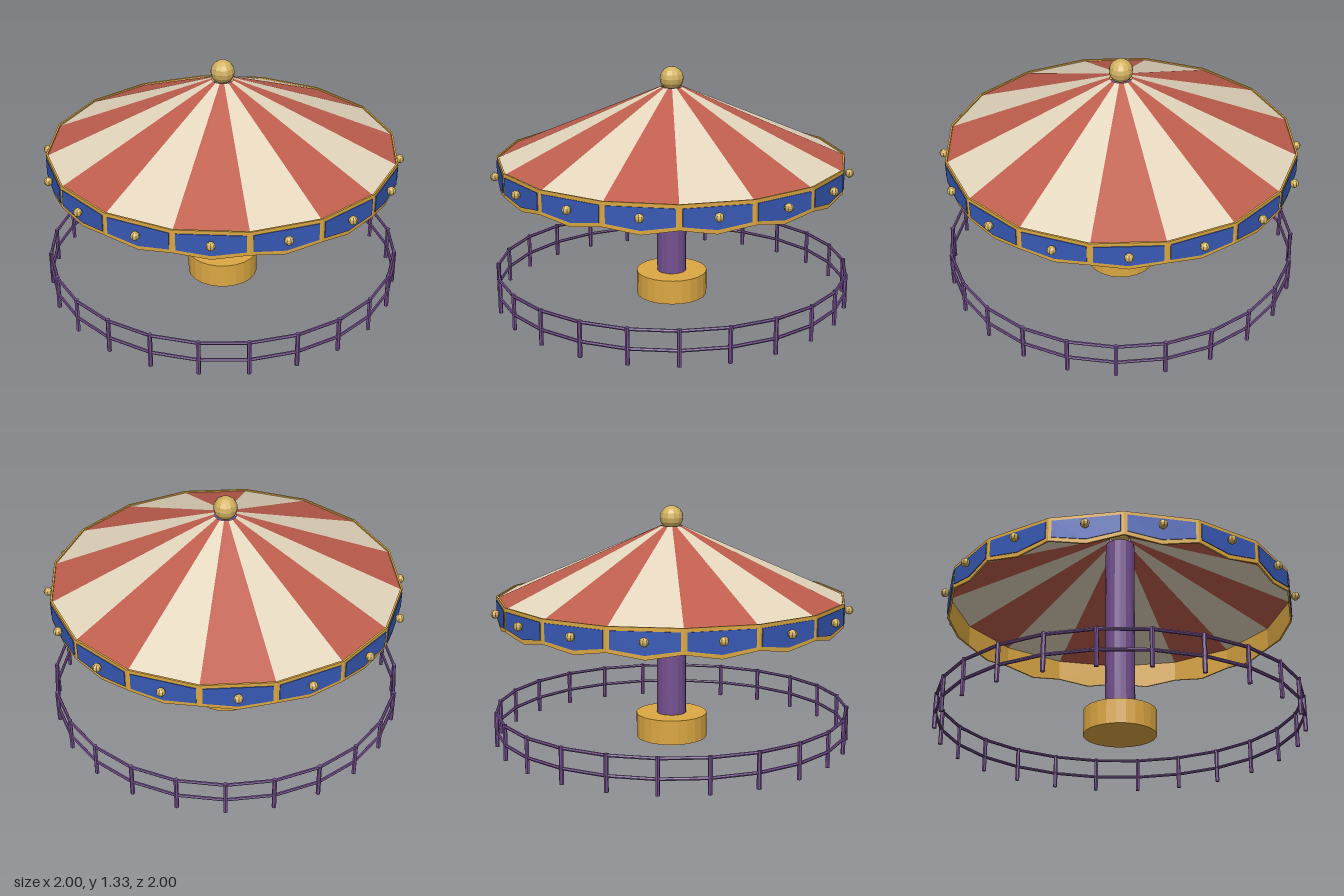
import * as THREE from 'three';
import { mergeGeometries } from 'three/addons/utils/BufferGeometryUtils.js';

const SIDES = 16, STEP = (Math.PI * 2) / SIDES;
const POSTS = 24;

function material(name, color, doubleSided = false) {
  const m = new THREE.MeshStandardMaterial({ color, flatShading: true });
  m.name = name;
  if (doubleSided) m.side = THREE.DoubleSide;
  return m;
}

export function createModel() {
  const group = new THREE.Group();
  const purple = material('purple paint', 0x74508f);
  const gold = material('gold trim', 0xdca843);
  const brass = material('pale brass', 0xd2b160);
  const blue = material('blue panel', 0x3759b5);
  const red = material('red canvas', 0xbf5e4d, true);
  const cream = material('cream canvas', 0xe4d6bd, true);

  const add = (name, geometry, mat, y = 0) => {
    const mesh = new THREE.Mesh(geometry, mat);
    mesh.name = name;
    mesh.position.y = y;
    group.add(mesh);
    return mesh;
  };
  // Copies of a geometry spaced evenly around the axis
  const ring = (make, count, offset = 0) => {
    const parts = [];
    for (let i = 0; i < count; i++) {
      parts.push(make(i).rotateY(((i + offset) * Math.PI * 2) / count));
    }
    return mergeGeometries(parts);
  };

  // Base and central column
  add('baseDrum', new THREE.CylinderGeometry(0.2, 0.2, 0.138, 24), gold, 0.081);
  add('centerPole', new THREE.CylinderGeometry(0.083, 0.083, 1.16, 16), purple, 0.593);

  // Striped canopy, open at the crown
  const stripes = (first) => ring(
    (i) => new THREE.CylinderGeometry(0.06, 0.965, 0.395, 1, 1, true, 0, STEP).rotateY(first * STEP),
    SIDES / 2);
  add('creamStripes', stripes(0), cream, 1.0175);
  add('redStripes', stripes(1), red, 1.0175);
  add('finial', new THREE.SphereGeometry(0.066, 12, 8), brass, 1.26);

  // Valance: pointed panels with blue insets and a knob on each
  const panel = (half, top, side, tip, depth, z) => {
    const s = new THREE.Shape();
    s.moveTo(-half, top);
    s.lineTo(-half, side);
    s.lineTo(0, tip);
    s.lineTo(half, side);
    s.lineTo(half, top);
    s.closePath();
    return new THREE.ExtrudeGeometry(s, { depth, bevelEnabled: false }).translate(0, 0, z);
  };
  const outerR = 0.972, apothem = outerR * Math.cos(STEP / 2);
  const halfWidth = outerR * Math.sin(STEP / 2);
  add('valanceFrame', ring(() => panel(halfWidth, 0.83, 0.7, 0.668, 0.01, apothem - 0.01), SIDES, 0.5), gold);
  add('valancePanels', ring(() => panel(halfWidth - 0.016, 0.81, 0.718, 0.691, 0.005, apothem - 0.001), SIDES, 0.5), blue);
  add('valanceKnobs', ring(() => new THREE.SphereGeometry(0.024, 8, 6).translate(0, 0, 0.983), SIDES, 0.5), brass, 0.763);

  // Surrounding fence
  add('fencePosts', ring(() => new THREE.CylinderGeometry(0.012, 0.012, 0.2, 6).translate(0, 0.1, 0.988), POSTS), purple);
  for (const [name, y] of [['upperRail', 0.19], ['lowerRail', 0.085]]) {
    add(name, new THREE.TorusGeometry(0.988, 0.009, 6, POSTS).rotateX(Math.PI / 2), purple, y);
  }
  return group;
}
